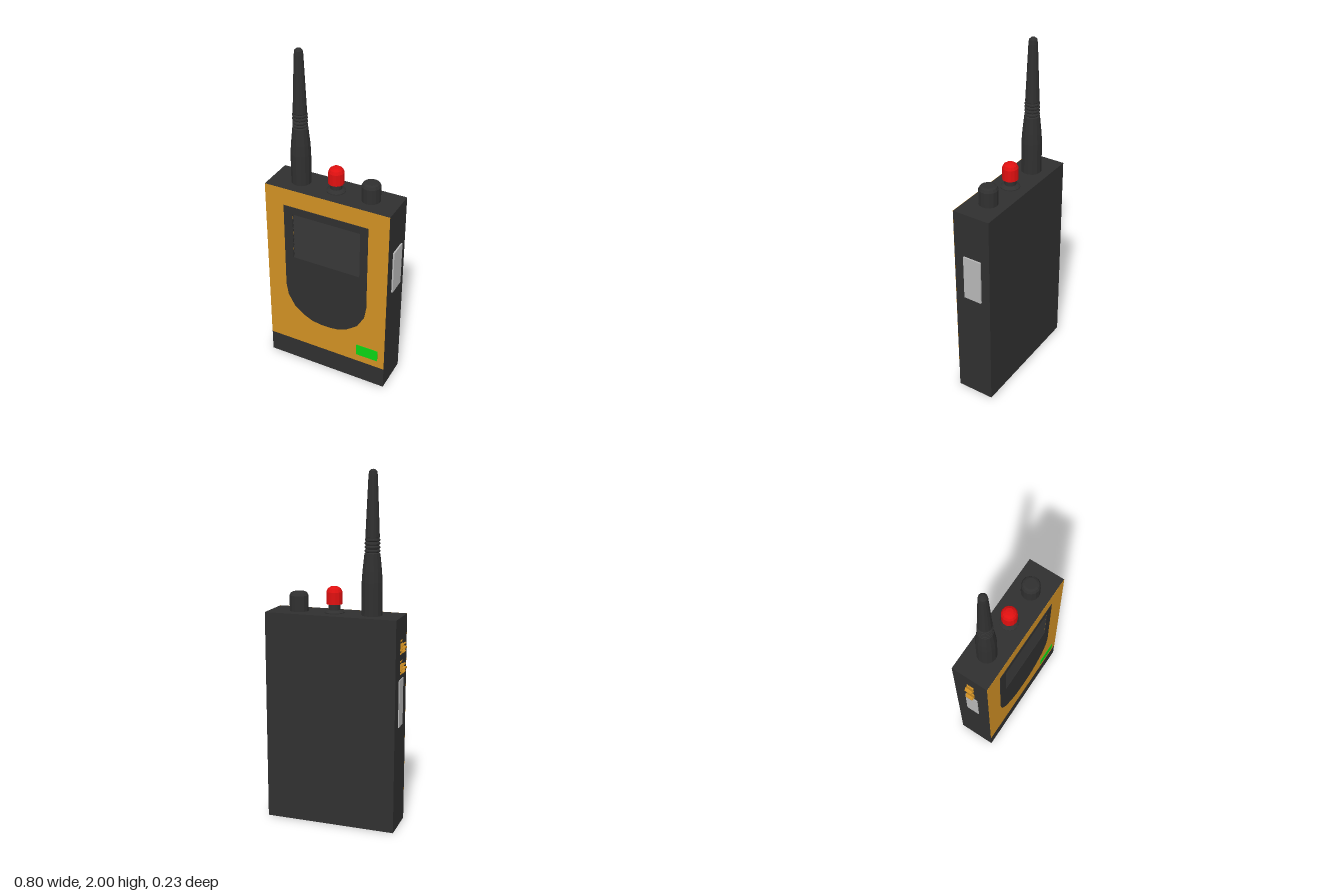
import * as THREE from 'three';

const paint = (name, color) => {
  const m = new THREE.MeshStandardMaterial({ color });
  m.name = name;
  return m;
};

export function createModel() {
  const black = paint('black plastic', 0x303030);
  const amber = paint('amber plastic', 0xd09024);
  const grey = paint('grey pads', 0xb8b8b8);
  const red = paint('red cap', 0xe01010);
  const green = paint('green label', 0x0ad414);

  const root = new THREE.Group();
  root.name = 'handheldRadio';

  const add = (name, geometry, material, x = 0, y = 0, z = 0) => {
    const mesh = new THREE.Mesh(geometry, material);
    mesh.name = name;
    mesh.position.set(x, y, z);
    root.add(mesh);
    return mesh;
  };

  // Box given by its minimum and maximum corners
  const block = (name, material, a, b) => add(
    name,
    new THREE.BoxGeometry(b[0] - a[0], b[1] - a[1], b[2] - a[2]),
    material, (a[0] + b[0]) / 2, (a[1] + b[1]) / 2, (a[2] + b[2]) / 2);

  const polygon = (points) => new THREE.Shape(points.map(([x, y]) => new THREE.Vector2(x, y)));
  const rect = (x0, y0, x1, y1) => [[x0, y0], [x1, y0], [x1, y1], [x0, y1]];
  const extrude = (shape, depth) => new THREE.ExtrudeGeometry(shape, { depth, bevelEnabled: false });

  // Sheet with the speaker opening cut out
  const L = -0.372, R = 0.387, TOP = 1.217;
  const grille = { x0: -0.2, x1: 0.218, y0: 0.77, y1: 1.063 };
  const sheet = (points, depth) => {
    const shape = polygon(points);
    shape.holes.push(polygon(rect(grille.x0, grille.y0, grille.x1, grille.y1)));
    return extrude(shape, depth);
  };

  // Case: solid rear, front layer with speaker opening
  block('caseRear', black, [L, 0, -0.115], [R, TOP, 0.088]);
  add('caseFront', sheet(rect(L, 0, R, TOP), 0.021), black, 0, 0, 0.088);
  add('frontPlate', sheet(rect(L, 0.14, R, TOP), 0.001), amber, 0, 0, 0.109);

  // Speaker panel with rounded lower end
  const half = [[0.26, 1.11], [0.26, 0.56], [0.247, 0.485], [0.205, 0.41], [0.14, 0.36], [0.085, 0.335], [0.03, 0.328]];
  const outline = [
    ...half.map(([x, y]) => [0.005 + x, y]),
    ...half.slice().reverse().map(([x, y]) => [0.005 - x, y]),
  ];
  add('speakerPanel', sheet(outline, 0.003), black, 0, 0, 0.11);

  // Sloping louvres inside the opening, one saw-tooth profile swept across
  const teeth = 9, step = (grille.y1 - grille.y0) / teeth;
  const saw = [[0.085, grille.y0]];
  for (let i = 0; i < teeth; i++) {
    saw.push([0.111, grille.y0 + i * step], [0.092, grille.y0 + (i + 0.95) * step]);
  }
  saw.push([0.085, grille.y1]);
  const louvres = extrude(polygon(saw), grille.x1 - grille.x0);
  louvres.rotateY(-Math.PI / 2);
  add('speakerLouvres', louvres, black, grille.x1, 0, 0);

  // Front label and side pads
  block('label', green, [0.208, 0.19, 0.109], [0.345, 0.265, 0.1125]);
  block('leftPad', grey, [0.38, 0.68, -0.062], [0.396, 0.95, 0.048]);
  block('rightPad', grey, [-0.377, 0.6, -0.045], [-0.365, 0.87, 0.035]);

  // Two toothed side wheels, half sunk into the case
  const gear = [];
  for (let i = 0; i < 10; i++) {
    [[-0.3, 0.026], [-0.17, 0.042], [0.17, 0.042], [0.3, 0.026]].forEach(([t, r]) => {
      const a = (i + t) * Math.PI / 5;
      gear.push([r * Math.cos(a), r * Math.sin(a)]);
    });
  }
  for (const y of [1.05, 0.935]) {
    add('sideWheel', extrude(polygon(gear), 0.042), amber, -0.358, y, -0.025);
  }

  // Turned parts on top, each from a radius and height profile
  const turned = (name, profile, sides, material, x) => {
    const points = profile.map(([r, y]) => new THREE.Vector2(r, y));
    const g = new THREE.LatheGeometry(points, sides).toNonIndexed();
    g.computeVertexNormals();
    return add(name, g, material, x, 0, -0.005);
  };

  const ribs = [];
  for (let i = 0; i < 4; i++) {
    const y = 1.56 + i * 0.02;
    ribs.push([0.037, y], [0.042, y + 0.005], [0.042, y + 0.012], [0.037, y + 0.017]);
  }
  turned('antenna', [
    [0.057, 1.21], [0.057, 1.4], [0.053, 1.46], [0.043, 1.555],
    ...ribs,
    [0.039, 1.642], [0.025, 1.965], [0.022, 1.988], [0.012, 1.998], [0, 2],
  ], 14, black, -0.203);

  turned('beaconBase', [
    [0.055, 1.21], [0.055, 1.222], [0.046, 1.229], [0.034, 1.235], [0.034, 1.27], [0, 1.27],
  ], 14, black, 0.014);
  turned('beaconCap', [
    [0, 1.267], [0.045, 1.267], [0.045, 1.335], [0.037, 1.352], [0.022, 1.363], [0, 1.366],
  ], 14, red, 0.014);

  turned('volumeKnob', [
    [0.054, 1.21], [0.054, 1.305], [0.046, 1.32], [0.034, 1.325], [0, 1.325],
  ], 14, black, 0.224);

  return root;
}
